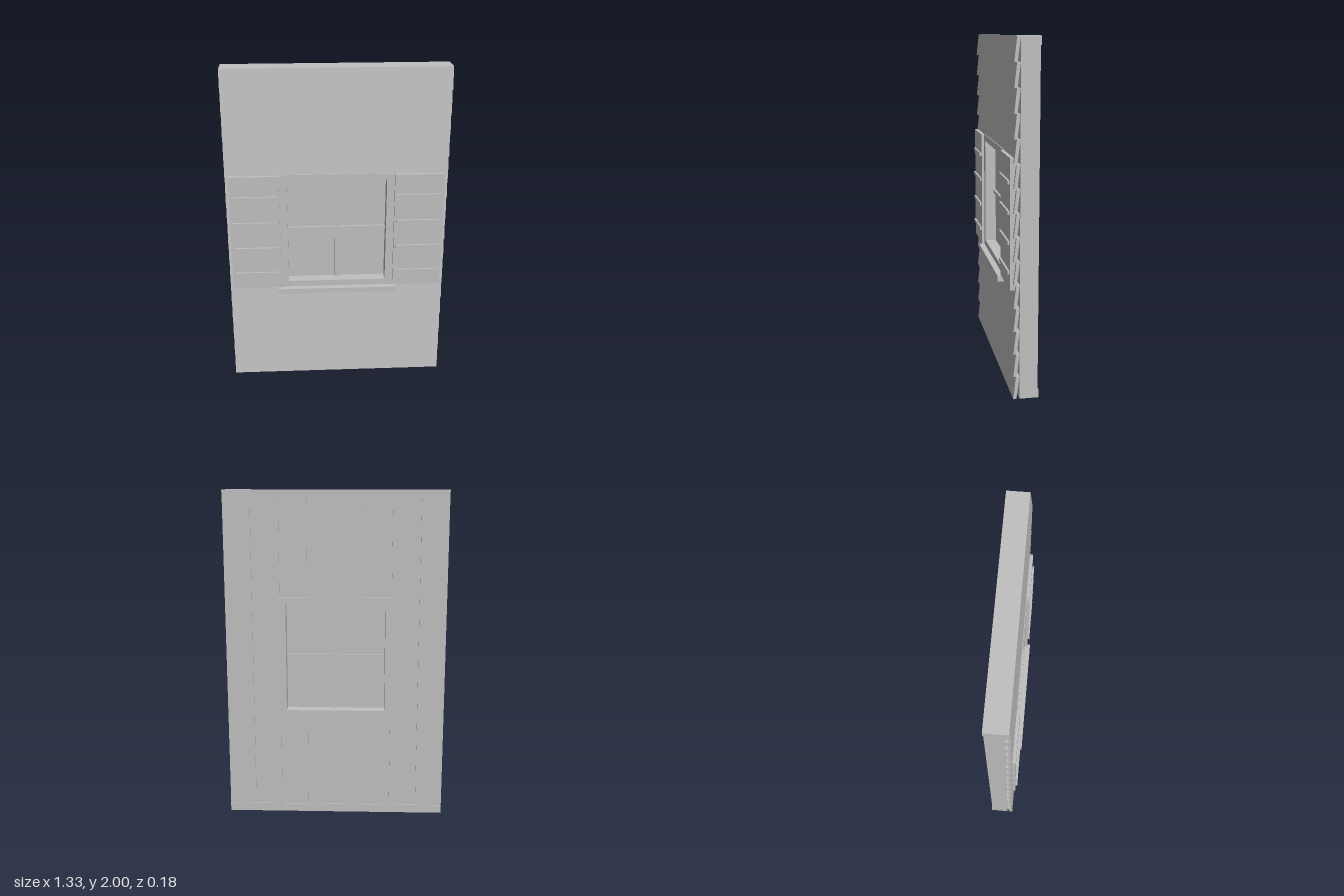
import * as THREE from 'three';

const W = 0.665, H = 2;
const OX = 0.3, OY0 = 0.668, OY1 = 1.33; // window opening

export function createModel() {
  const root = new THREE.Group();
  root.name = 'windowWall';
  const grey = new THREE.MeshStandardMaterial({ color: 0xc0c0c0 });
  grey.name = 'plain grey';

  const add = (name, geo, parent = root) => {
    const m = new THREE.Mesh(geo, grey);
    m.name = name;
    parent.add(m);
    return m;
  };
  const group = (name) => {
    const g = new THREE.Group();
    g.name = name;
    root.add(g);
    return g;
  };
  // Box given by its limits on each axis
  const box = (name, x0, x1, y0, y1, z0, z1, parent) => {
    const m = add(name, new THREE.BoxGeometry(x1 - x0, y1 - y0, z1 - z0), parent);
    m.position.set((x0 + x1) / 2, (y0 + y1) / 2, (z0 + z1) / 2);
    return m;
  };
  const rect = (T, x0, x1, y0, y1) => {
    const s = new T();
    s.moveTo(x0, y0);
    s.lineTo(x1, y0);
    s.lineTo(x1, y1);
    s.lineTo(x0, y1);
    s.closePath();
    return s;
  };
  // Rectangular slab with a rectangular hole
  const ring = (name, outer, hole, z0, z1) => {
    const s = rect(THREE.Shape, ...outer);
    s.holes.push(rect(THREE.Path, ...hole));
    const g = new THREE.ExtrudeGeometry(s, { depth: z1 - z0, bevelEnabled: false });
    g.translate(0, 0, z0);
    return add(name, g);
  };

  // Wall core and the lined window casing
  ring('wallCore', [-W, W, 0, H], [-0.33, 0.33, 0.64, 1.36], -0.074, 0.02);
  ring('windowCasing', [-0.35, 0.35, 0.63, 1.37], [-OX, OX, OY0, OY1], -0.093, 0.056);

  // Leaning clapboards, split where they meet the window
  const siding = group('siding');
  const n = 15, pitch = H / n;
  const clapboard = (x0, x1, y) => {
    const s = new THREE.Shape();
    s.moveTo(-0.055, 0);
    s.lineTo(-0.037, 0);
    s.lineTo(-0.02, pitch);
    s.lineTo(-0.04, pitch);
    s.closePath();
    const g = new THREE.ExtrudeGeometry(s, { depth: x1 - x0, bevelEnabled: false });
    g.rotateY(Math.PI / 2); // profile x becomes -z, depth becomes +x
    g.translate(x0, y, 0);
    add('clapboard', g, siding);
  };
  for (let i = 0; i < n; i++) {
    if (i >= 5 && i <= 9) {
      clapboard(-W, -0.32, i * pitch);
      clapboard(0.32, W, i * pitch);
    } else clapboard(-W, W, i * pitch);
  }

  // Vertical inside planks with narrow grooves
  const lining = group('insideLining');
  const pw = W / 4, gap = 0.004, zb = -0.084;
  for (let i = 0; i < 8; i++) {
    const x0 = -W + i * pw + (i > 0 ? gap : 0);
    const x1 = -W + (i + 1) * pw - (i < 7 ? gap : 0);
    if (i >= 2 && i <= 5) {
      box('plank', x0, x1, 0, 0.65, zb, -0.074, lining);
      box('plank', x0, x1, 1.35, H, zb, -0.074, lining);
    } else box('plank', x0, x1, 0, H, zb, -0.074, lining);
  }
  box('topTrim', -W, W, H - 0.05, H, -0.089, -0.07);
  box('baseTrim', -W, W, 0, 0.05, -0.089, -0.07);

  // Panes and glazing bars
  box('panes', -OX, OX, OY0, OY1, -0.018, -0.012);
  box('uprightBar', -0.011, 0.011, OY0, OY1, -0.032, 0.002);
  box('crossBar', -OX, OX, 0.988, 1.01, -0.032, 0.002);

  // Sills outside and inside
  box('outerSill', -0.365, 0.362, 0.595, 0.628, 0.03, 0.09);
  box('innerSill', -0.365, 0.365, 0.598, 0.632, -0.093, -0.07);

  // Shutters with raised slats
  for (const side of [-1, 1]) {
    const shutter = group(side > 0 ? 'leftShutter' : 'rightShutter');
    shutter.position.x = side * 0.496;
    box('shutterPanel', -0.149, 0.149, 0.635, 1.366, 0.035, 0.072, shutter);
    for (let k = 0; k < 4; k++) {
      const y = 0.733 + k * 0.1665;
      box('slat', -0.134, 0.134, y - 0.01, y + 0.01, 0.07, 0.083, shutter);
    }
  }
  return root;
}
